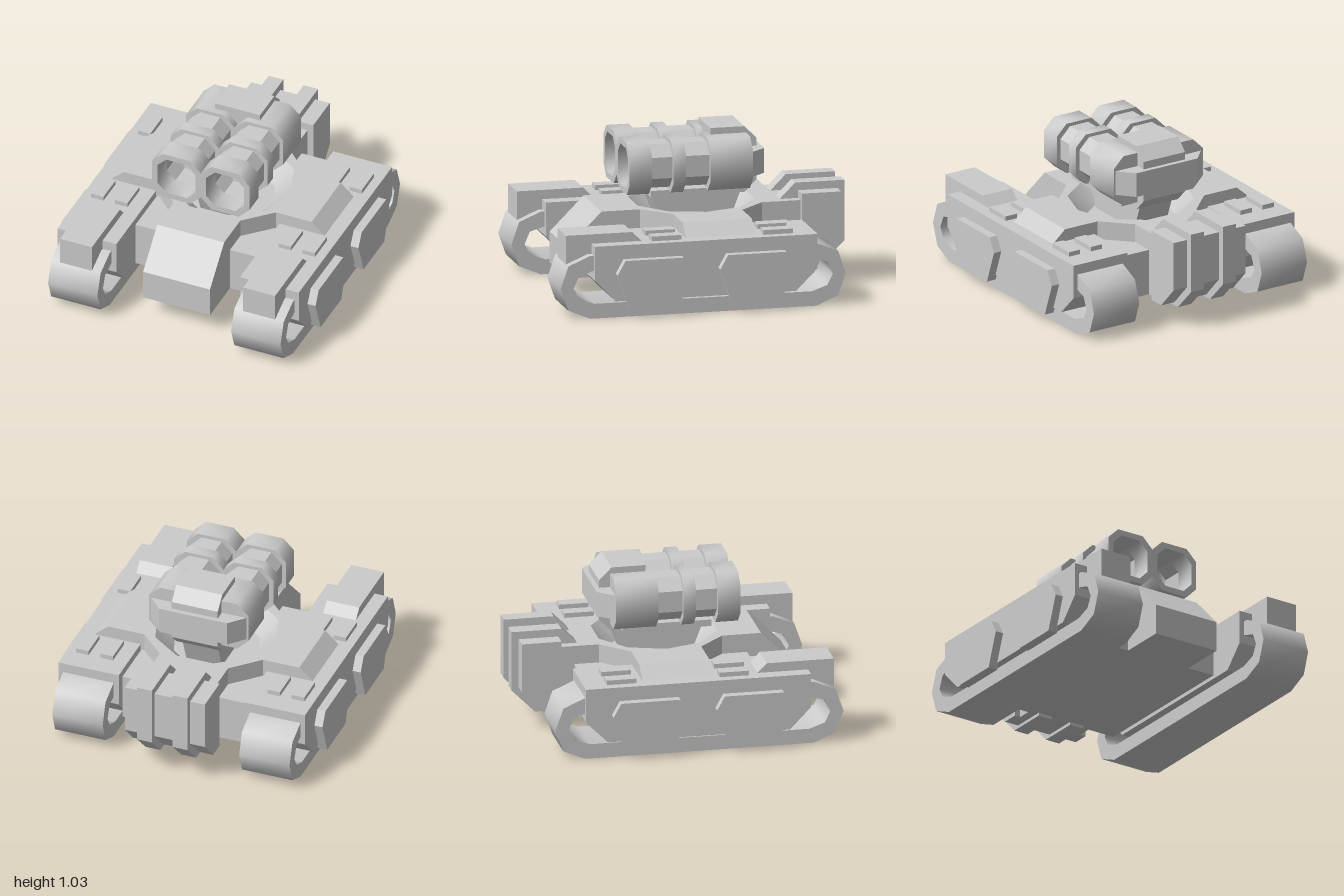
import * as THREE from 'three';
import { toCreasedNormals } from 'three/addons/utils/BufferGeometryUtils.js';

const grey = new THREE.MeshStandardMaterial({ color: 0xcccccc });
const greyDouble = new THREE.MeshStandardMaterial({ color: 0xcccccc, side: THREE.DoubleSide });

export function createModel() {
  const model = new THREE.Group();
  model.name = 'tank';

  const add = (name, geometry, parent = model, material = grey) => {
    const mesh = new THREE.Mesh(geometry, material);
    mesh.name = name;
    parent.add(mesh);
    return mesh;
  };
  const vectors = (pts) => pts.map(([a, b]) => new THREE.Vector2(a, b));
  const extrude = (pts, depth, hole) => {
    const shape = new THREE.Shape(vectors(pts));
    if (hole) shape.holes.push(new THREE.Path(vectors(hole)));
    return new THREE.ExtrudeGeometry(shape, { depth, bevelEnabled: false });
  };
  // Side profile (z, y) spanning x0..x1
  const sideways = (pts, x0, x1, hole) =>
    extrude(pts, x1 - x0, hole).rotateY(-Math.PI / 2).translate(x1, 0, 0);
  // Plan outline (x, z) spanning y0..y1
  const upright = (pts, y0, y1, hole) =>
    extrude(pts, y1 - y0, hole).rotateX(Math.PI / 2).translate(0, y1, 0);
  // Front outline (x, y) spanning z0..z1
  const lengthwise = (pts, z0, z1, hole) => extrude(pts, z1 - z0, hole).translate(0, 0, z0);
  const box = (x0, x1, y0, y1, z0, z1) =>
    new THREE.BoxGeometry(x1 - x0, y1 - y0, z1 - z0)
      .translate((x0 + x1) / 2, (y0 + y1) / 2, (z0 + z1) / 2);
  // Square with cut corners: half-size h, cut c
  const octagon = (cx, cy, h, c) => [
    [h, c - h], [h, h - c], [h - c, h], [c - h, h],
    [-h, h - c], [-h, c - h], [c - h, -h], [h - c, -h],
  ].map(([x, y]) => [cx + x, cy + y]);

  // Hull, nose and raised deck with a ten-sided turret well
  add('lowerHull', box(-0.42, 0.42, 0.13, 0.43, -0.61, 0.5));
  add('nose', sideways([[0.5, 0.13], [0.81, 0.13], [0.81, 0.33], [0.59, 0.55], [0.5, 0.55]], -0.23, 0.23));
  const well = Array.from({ length: 10 }, (_, i) => {
    const a = (i * Math.PI) / 5;
    return [0.4 * Math.cos(a), -0.05 + 0.4 * Math.sin(a)];
  });
  well[0][0] = 0.399;
  well[5][0] = -0.399;
  add('deck', upright([
    [0.41, -0.28], [0.41, 0.17], [0.4, 0.17], [0.23, 0.34], [0.23, 0.5],
    [-0.23, 0.5], [-0.23, 0.34], [-0.4, 0.17], [-0.41, 0.17], [-0.41, -0.28], [-0.4, -0.28],
    [-0.23, -0.45], [-0.23, -0.61], [0.23, -0.61], [0.23, -0.45], [0.4, -0.28],
  ], 0.43, 0.55, well));
  const wellWall = new THREE.CylinderGeometry(0.4, 0.28, 0.12, 10, 1, true, Math.PI / 2);
  add('turretWell', wellWall.translate(0, 0.49, -0.05), model, greyDouble);

  // Rear engine with two tall ribs
  add('engineLink', box(-0.23, 0.23, 0.13, 0.55, -0.71, -0.61));
  add('engine', sideways([
    [-0.7, 0.13], [-0.7, 0.6], [-0.955, 0.6], [-0.955, 0.28], [-0.81, 0.13],
  ], -0.27, 0.27));
  for (const s of [-1, 1]) {
    add('engineRib', sideways([
      [-0.58, 0.11], [-0.58, 0.55], [-0.68, 0.65], [-1, 0.65], [-1, 0.26], [-0.85, 0.11],
    ], s * 0.12 - 0.05, s * 0.12 + 0.05));
  }

  // Track loops, side pods and their fittings
  const trackOuter = [
    [1, 0.2], [0.95, 0.345], [0.81, 0.405], [-0.66, 0.405], [-0.8, 0.345],
    [-0.85, 0.2], [-0.8, 0.06], [-0.66, 0], [0.81, 0], [0.95, 0.06],
  ];
  const trackInner = [
    [0.915, 0.2], [0.88, 0.28], [0.78, 0.31], [-0.63, 0.31], [-0.73, 0.28],
    [-0.765, 0.2], [-0.73, 0.13], [-0.63, 0.095], [0.78, 0.095], [0.88, 0.13],
  ];
  const podProfile = [
    [0.785, 0.47], [-0.66, 0.47], [-0.66, 0.25], [-0.52, 0.11], [0.65, 0.11], [0.785, 0.25],
  ];
  const plateProfile = [
    [0.19, 0.38], [-0.19, 0.38], [-0.24, 0.29], [-0.16, 0.07], [0.16, 0.07], [0.24, 0.29],
  ];
  for (const s of [-1, 1]) {
    const side = new THREE.Group();
    side.name = s > 0 ? 'leftSide' : 'rightSide';
    model.add(side);
    const span = (a, b) => (s > 0 ? [a, b] : [-b, -a]);

    add('track', toCreasedNormals(sideways(trackOuter, ...span(0.46, 0.8), trackInner), 0.9), side);
    add('sidePod', sideways(podProfile, ...span(0.425, 0.83)), side);
    for (const z of [0.41, -0.255]) {
      const plate = plateProfile.map(([u, v]) => [u + z, v]);
      add('armourPlate', sideways(plate, ...span(0.82, 0.885)), side);
    }
    add('frontBlock', sideways([
      [0.95, 0.32], [0.95, 0.53], [0.52, 0.53], [0.46, 0.47], [0.46, 0.32],
    ], ...span(0.52, 0.74)), side);
    for (const z of [0.305, -0.42]) {
      for (const x of [0.52, 0.685]) {
        add('podPad', box(...span(x, x + 0.085), 0.46, 0.5, z - 0.095, z + 0.095), side);
      }
    }
    // Sloped shoulder joining the deck to the pod
    add('shoulder', lengthwise([
      [0.41, 0.43], [0.735, 0.43], [0.735, 0.47], [0.645, 0.55], [0.41, 0.55],
    ].map(([x, y]) => [s * x, y]), -0.28, 0.17), side);
  }

  // Turret: neck, base plate, rear housing
  const turret = new THREE.Group();
  turret.name = 'turret';
  model.add(turret);
  add('neck', sideways([[0.17, 0.43], [0.245, 0.625], [-0.345, 0.625], [-0.27, 0.43]], -0.12, 0.12), turret);
  add('basePlate', box(-0.235, 0.235, 0.622, 0.665, -0.3, 0.27), turret);
  add('housing', sideways([
    [-0.135, 0.605], [-0.135, 1.03], [-0.355, 1.03], [-0.435, 0.95], [-0.435, 0.685], [-0.355, 0.605],
  ], -0.155, 0.155), turret);
  add('rearCap', upright([
    [-0.325, -0.36], [0.325, -0.36], [0.23, -0.465], [-0.23, -0.465],
  ], 0.74, 0.9), turret);

  // Twin barrels: thick collars alternating with slimmer sections, hollow up to the breech
  const sections = [
    [0.29, 0.435, true], [0.15, 0.29, false], [0.07, 0.15, true],
    [-0.09, 0.07, false], [-0.365, -0.09, true],
  ];
  for (const cx of [-0.167, 0.167]) {
    const barrel = new THREE.Group();
    barrel.name = 'barrel';
    turret.add(barrel);
    sections.forEach(([z0, z1, thick], i) => {
      const outline = thick ? octagon(cx, 0.822, 0.167, 0.073) : octagon(cx, 0.827, 0.14, 0.072);
      const bore = i < 4 ? octagon(cx, 0.822, 0.13, 0.06) : undefined;
      const geometry = lengthwise(outline, z0, z1, bore);
      add(thick ? 'collar' : 'slimSection', thick ? toCreasedNormals(geometry, 0.9) : geometry, barrel);
    });
  }
  return model;
}
